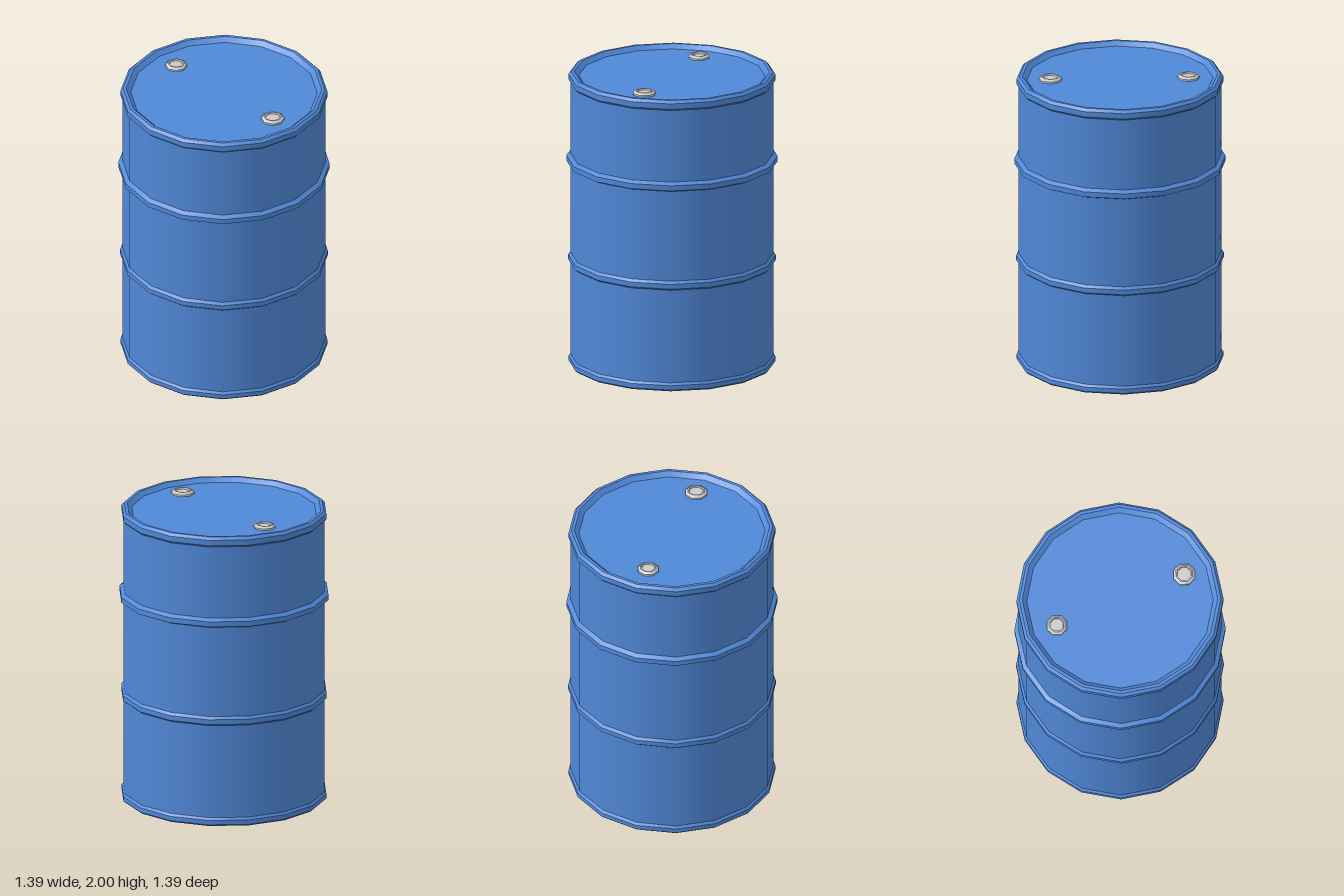
import * as THREE from 'three';
import { mergeGeometries } from 'three/addons/utils/BufferGeometryUtils.js';

const blue = new THREE.MeshStandardMaterial({ color: 0x5088d8 });
const grey = new THREE.MeshStandardMaterial({ color: 0xcccccc });

// Turned part: smooth around the axis, sharp between the steps of the profile
function turned(name, profile, sides, material) {
  const bands = [];
  for (let i = 0; i < profile.length - 1; i++) {
    const pair = [profile[i], profile[i + 1]].map(([r, y]) => new THREE.Vector2(r, y));
    bands.push(new THREE.LatheGeometry(pair, sides));
  }
  const mesh = new THREE.Mesh(mergeGeometries(bands), material);
  mesh.name = name;
  return mesh;
}

// Chamfered band that stands out from the wall between two heights
const WALL = 0.67;
const hoop = (low, high, radius) => [
  [WALL, low], [radius, low + 0.012], [radius, high - 0.018], [WALL, high],
];

export function createModel() {
  const drum = new THREE.Group();
  drum.name = 'drum';

  // Base, wall, hoops, rolled rim and sunken lid in one profile
  drum.add(turned('drumBody', [
    [0, 0], [0.67, 0], [0.683, 0.012], [0.683, 0.042], [WALL, 0.058],
    ...hoop(0.695, 0.758, 0.685),
    ...hoop(1.375, 1.44, 0.697),
    [WALL, 1.932], [0.683, 1.945], [0.683, 1.982], [0.665, 2],
    [0.645, 2], [0.615, 1.972], [0, 1.972],
  ], 16, blue));

  // Two octagonal bungs with a shallow recess
  for (const [name, x, r] of [['rightBung', -0.452, 0.072], ['leftBung', 0.46, 0.077]]) {
    const bung = turned(name, [
      [r, 0], [r, 0.012], [r * 0.78, 0.025], [r * 0.66, 0.025], [r * 0.62, 0.014], [0, 0.014],
    ], 8, grey);
    bung.position.set(x, 1.972, 0);
    drum.add(bung);
  }
  return drum;
}
